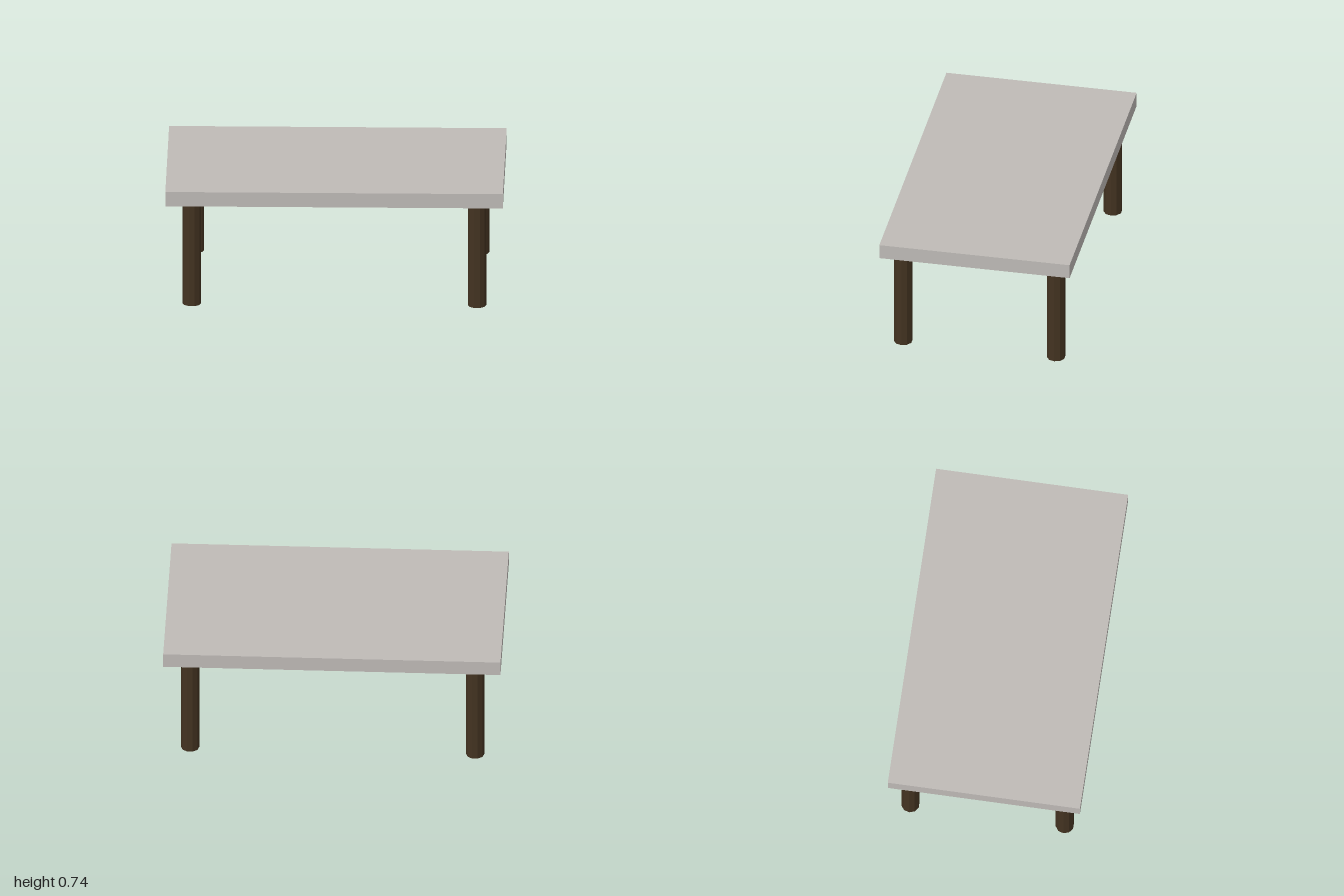
import * as THREE from 'three';

const HEIGHT = 0.74, TOP_Y = 0.65, LEG_RADIUS = 0.055;

export function createModel() {
  const table = new THREE.Group();
  table.name = 'table';

  const stone = new THREE.MeshStandardMaterial({ color: 0xbfbbb7 });
  stone.name = 'pale grey top';
  const wood = new THREE.MeshStandardMaterial({ color: 0x433321 });
  wood.name = 'dark brown wood';

  // Tabletop slab
  const top = new THREE.Mesh(new THREE.BoxGeometry(2, HEIGHT - TOP_Y, 1.15), stone);
  top.name = 'tabletop';
  top.position.y = (HEIGHT + TOP_Y) / 2;
  table.add(top);

  // Four faceted legs, with a corner of each facing the sides
  const legGeometry = new THREE.CylinderGeometry(LEG_RADIUS, LEG_RADIUS, TOP_Y, 10)
    .rotateY(Math.PI / 2)
    .toNonIndexed();
  legGeometry.computeVertexNormals();
  for (const [sideName, x] of [['Left', 0.845], ['Right', -0.845]]) {
    for (const [endName, z] of [['front', 0.462], ['back', -0.462]]) {
      const leg = new THREE.Mesh(legGeometry, wood);
      leg.name = `${endName}${sideName}Leg`;
      leg.position.set(x, TOP_Y / 2, z);
      table.add(leg);
    }
  }
  return table;
}
